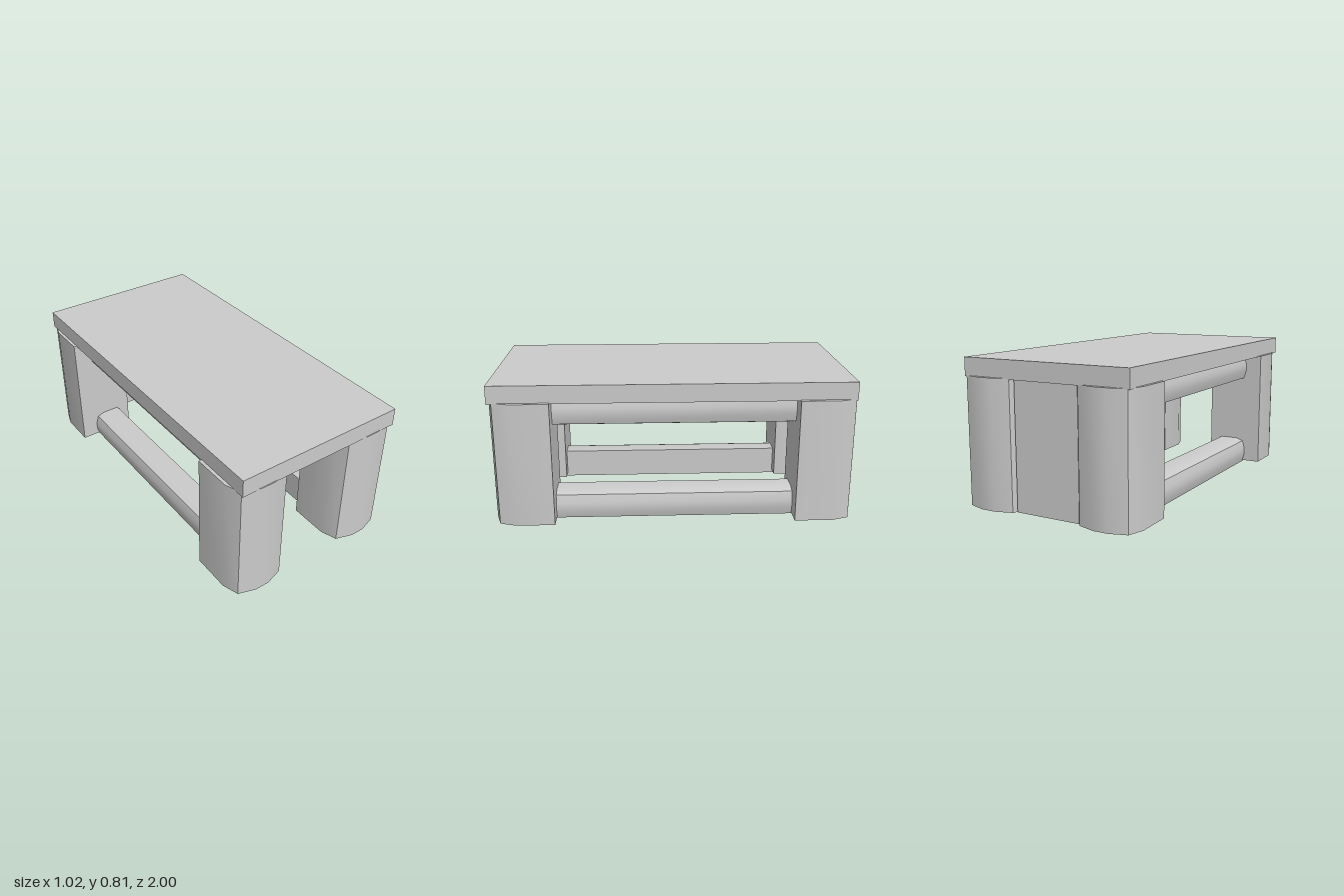
import * as THREE from 'three';
import { toCreasedNormals } from 'three/addons/utils/BufferGeometryUtils.js';

const material = new THREE.MeshStandardMaterial({ color: 0xcccccc });

// Post with a flat back at y = 0 and a rounded face at y = depth, extruded along +z
function roundedPost(width, depth, length) {
  const half = [[0.5, 0], [0.5, 0.64], [0.41, 0.91], [0.12, 1]];
  const mirrored = half.map(([u, v]) => [-u, v]).reverse();
  const points = [...half, ...mirrored].map(([u, v]) => new THREE.Vector2(u * width, v * depth));
  const geometry = new THREE.ExtrudeGeometry(new THREE.Shape(points), {
    depth: length, bevelEnabled: false,
  });
  return toCreasedNormals(geometry, Math.PI / 6);
}

export function createModel() {
  const group = new THREE.Group();
  const add = (name, geometry, x, y, z) => {
    const mesh = new THREE.Mesh(geometry, material);
    mesh.name = name;
    mesh.position.set(x, y, z);
    group.add(mesh);
    return mesh;
  };

  // Flat top
  add('tableTop', new THREE.BoxGeometry(0.98, 0.1, 1.97), -0.003, 0.765, 0.01);

  // Panel closing the back between the legs
  add('backPanel', new THREE.BoxGeometry(0.38, 0.69, 0.09), 0, 0.37, -0.905);

  // Four legs, rounded faces turned to the front and back
  const leg = roundedPost(0.335, 0.335, 0.695).rotateX(Math.PI / 2);
  // Upper and lower side rails, rounded faces turned outward
  const rail = roundedPost(0.168, 0.16, 1.57);

  for (const side of [-1, 1]) {
    const sideName = side > 0 ? 'Left' : 'Right';
    add('front' + sideName + 'Leg', leg, side * 0.343, 0.72, 0.665);
    add('back' + sideName + 'Leg', leg, side * 0.343, 0.72, -0.665).rotation.y = Math.PI;

    add('lower' + sideName + 'Rail', rail, side * 0.254, 0.086, -0.71).rotation.z = -side * Math.PI / 2;
    add('upper' + sideName + 'Rail', rail, side * 0.254, 0.642, -0.71).rotation.z = -side * Math.PI / 2;
  }

  return group;
}
